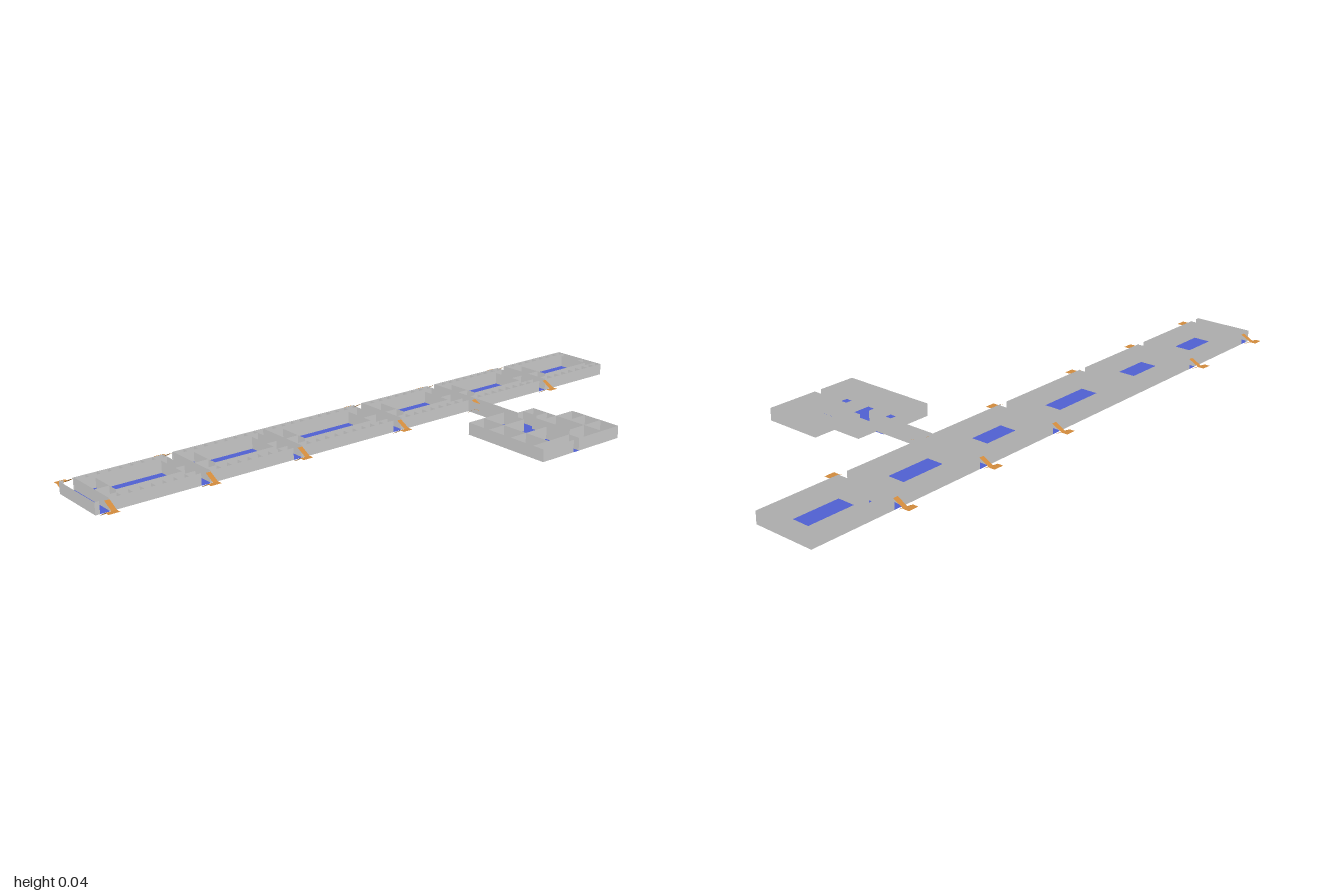
import * as THREE from 'three';
import { mergeGeometries } from 'three/addons/utils/BufferGeometryUtils.js';

const mat = (color) => new THREE.MeshStandardMaterial({ color, side: THREE.DoubleSide, flatShading: true });
const wallMat = mat(0xcccccc), floorMat = mat(0x4f5fd0), stairMat = mat(0xd08a3c);
const TOP = 0.043;
const X0 = -0.32, X1 = -0.117;

// Upright sheet between two plan points [x, z]
function sheet([ax, az], [bx, bz], base) {
  const g = new THREE.PlaneGeometry(Math.hypot(bx - ax, bz - az), TOP - base);
  g.rotateY(-Math.atan2(bz - az, bx - ax));
  return g.translate((ax + bx) / 2, (TOP + base) / 2, (az + bz) / 2);
}

// Walls from a list of plan polylines
function walls(name, lines, base) {
  const parts = lines.flatMap((l) => l.slice(1).map((p, i) => sheet(l[i], p, base)));
  const m = new THREE.Mesh(mergeGeometries(parts), wallMat);
  m.name = name;
  return m;
}

const rect = (x0, x1, z0, z1) => [[x0, z0], [x1, z0], [x1, z1], [x0, z1], [x0, z0]];

// Flat floor from a plan outline
function floor(name, pts, y) {
  const s = new THREE.Shape(pts.map(([x, z]) => new THREE.Vector2(x, -z)));
  const m = new THREE.Mesh(new THREE.ShapeGeometry(s).rotateX(-Math.PI / 2).translate(0, y, 0), floorMat);
  m.name = name;
  return m;
}

// Sloped or level sheet spanning xa..xb with heights ya..yb
function ramp(xa, ya, xb, yb, z0, z1) {
  const g = new THREE.PlaneGeometry(1, 1);
  const p = g.attributes.position;
  [[xa, ya, z0], [xb, yb, z0], [xa, ya, z1], [xb, yb, z1]].forEach((v, i) => p.setXYZ(i, ...v));
  g.computeVertexNormals();
  return g;
}

// Outside stair: two flights and a half-height landing; side is -1 or 1
function stair(side, z) {
  const xw = side < 0 ? X0 : X1, xm = xw + side * 0.036, xe = xw + side * 0.055;
  const zs = [z - 0.0175, z - 0.001, z + 0.001, z + 0.0175];
  const m = new THREE.Mesh(mergeGeometries([
    ramp(xw, 0.04, xm, 0.021, zs[0], zs[1]),
    ramp(xw, 0.001, xm, 0.021, zs[2], zs[3]),
    ramp(xm, 0.021, xe, 0.021, zs[0], zs[3]),
  ]), stairMat);
  m.name = 'stair';
  return m;
}

export function createModel() {
  const root = new THREE.Group();
  root.name = 'buildingPlan';

  // Long wing floor and outer shell, open at each stair
  root.add(floor('wingFloor', rect(X0, X1, -1, 1).slice(0, 4), 0.005));
  const stairsZ = { [-1]: [-0.703, -0.373, -0.057, 0.653, 0.972], 1: [-0.703, -0.373, -0.052, 0.333, 0.653, 0.972] };
  const shell = [[[X0, -1], [X1, -1]], [[X0, 1], [X1, 1]]];
  for (const side of [-1, 1]) {
    const x = side < 0 ? X0 : X1;
    let z = -1;
    for (const s of stairsZ[side]) {
      shell.push([[x, z], [x, s - 0.014]]);
      z = s + 0.014;
      root.add(stair(side, s));
    }
    shell.push([[x, z], [x, 1]]);
  }
  root.add(walls('wingOuterWalls', shell, 0.005));

  // Six blocks: [start, end, court start, court end]
  const blocks = [
    [-1, -0.72, -0.97, -0.765], [-0.685, -0.39, -0.64, -0.43], [-0.355, -0.075, -0.31, -0.12],
    [-0.035, 0.315, 0.015, 0.27], [0.35, 0.635, 0.385, 0.59], [0.67, 0.955, 0.70, 0.91],
  ];
  const cellL = -0.297, cellR = -0.143, courtL = -0.278, courtR = -0.164;
  blocks.forEach(([z0, z1, c0, c1]) => {
    const block = new THREE.Group();
    block.name = 'block';
    block.add(walls('courtWalls', [rect(courtL, courtR, c0, c1)], 0.005));
    const lines = [
      [[X0, z0], [X1, z0]], [[X0, z1], [X1, z1]],
      [[cellL, z0], [cellL, z1]], [[cellR, z0], [cellR, z1]],
      [[-0.2, z0], [-0.2, c0]], [[-0.2, c1], [-0.2, z1]],
    ];
    // Rows of small rooms along both sides
    const n = Math.round((z1 - z0) / 0.034);
    for (let i = 1; i < n; i++) {
      const z = z0 + ((z1 - z0) * i) / n;
      lines.push([[X0, z], [cellL, z]], [[cellR, z], [X1, z]]);
    }
    block.add(walls('roomWalls', lines, 0.005));
    root.add(block);
  });

  // Passage to the annex
  root.add(floor('passageFloor', rect(X1, 0.05, -0.39, -0.358).slice(0, 4), 0.005));
  root.add(walls('passageWalls', [[[X1, -0.39], [0.08, -0.39]], [[X1, -0.358], [0.05, -0.358]]], 0.005));

  // Stepped annex with a side door
  root.add(floor('annexFloor', [
    [0.05, -0.205], [0.373, -0.205], [0.373, -0.535], [0.18, -0.535], [0.18, -0.46],
    [0.14, -0.46], [0.14, -0.413], [0.08, -0.413], [0.08, -0.39], [0.05, -0.39],
  ], 0.003));
  root.add(walls('annexOuterWalls', [
    [[0.05, -0.358], [0.05, -0.205], [0.373, -0.205], [0.373, -0.335]],
    [[0.373, -0.358], [0.373, -0.535], [0.18, -0.535], [0.18, -0.46], [0.08, -0.46], [0.08, -0.39]],
  ], 0.003));
  root.add(walls('annexRoomWalls', [
    [[0.05, -0.27], [0.33, -0.27]], [[0.33, -0.36], [0.33, -0.205]],
    [[0.08, -0.413], [0.14, -0.413], [0.14, -0.46]],
    [[0.05, -0.358], [0.14, -0.358], [0.14, -0.27]],
    [[0.14, -0.395], [0.3, -0.395]], [[0.33, -0.36], [0.373, -0.36]],
    [[0.18, -0.46], [0.373, -0.46]], [[0.235, -0.535], [0.235, -0.46]], [[0.3, -0.535], [0.3, -0.395]],
    [[0.235, -0.36], [0.235, -0.205]], [[0.14, -0.27], [0.14, -0.205]], [[0.235, -0.36], [0.33, -0.36]],
    [[0.18, -0.46], [0.18, -0.395]],
  ], 0.003));
  return root;
}
